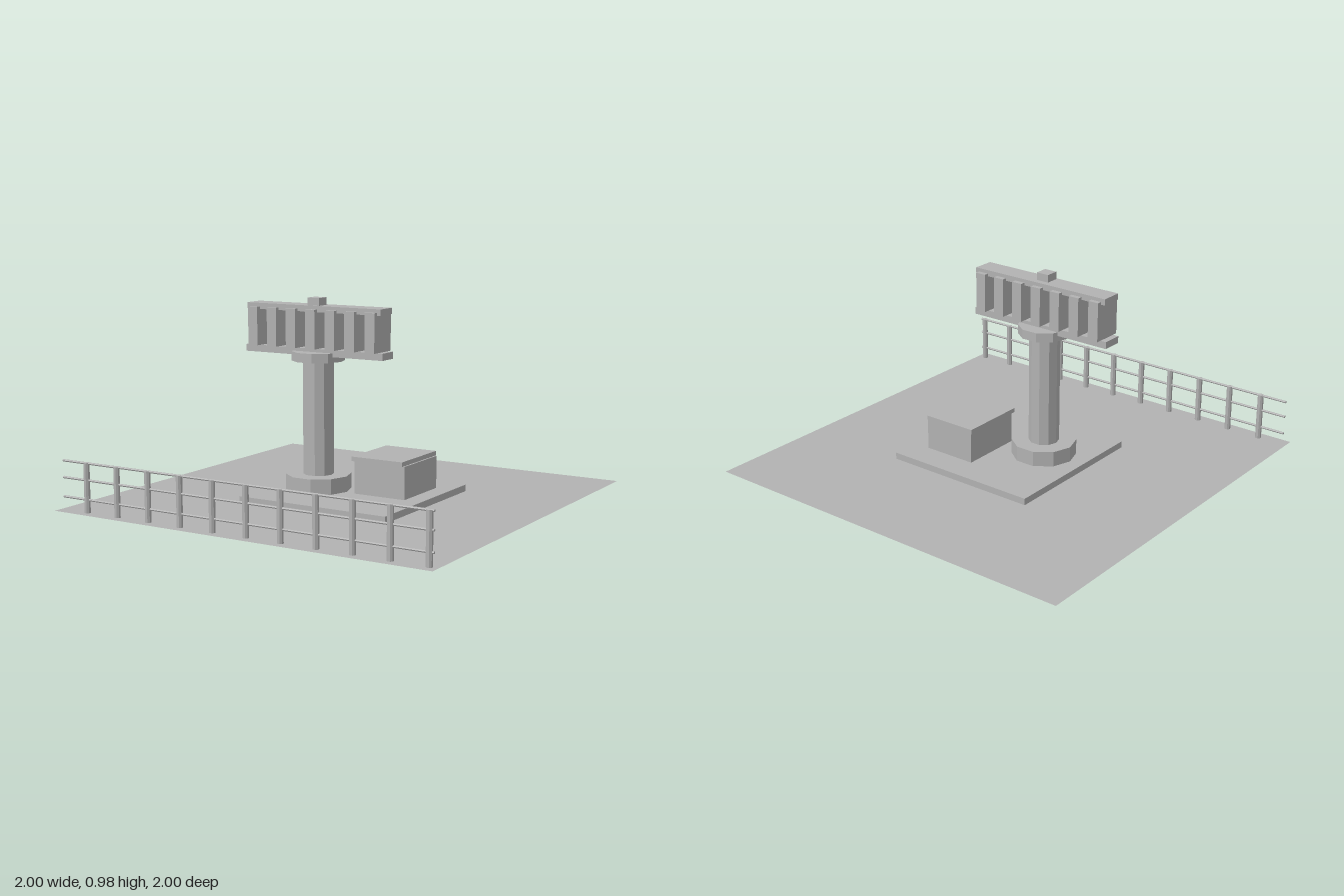
import * as THREE from 'three';

export function createModel() {
  const model = new THREE.Group();
  const grey = new THREE.MeshStandardMaterial({ color: 0xb2b2b2, flatShading: true, side: THREE.DoubleSide });
  grey.name = 'plain grey';

  const add = (parent, name, geometry, x, y, z) => {
    const mesh = new THREE.Mesh(geometry, grey);
    mesh.name = name;
    mesh.position.set(x, y, z);
    parent.add(mesh);
    return mesh;
  };
  // Box given by its limits on each axis
  const box = (parent, name, [x0, x1], [y0, y1], [z0, z1]) =>
    add(parent, name, new THREE.BoxGeometry(x1 - x0, y1 - y0, z1 - z0),
      (x0 + x1) / 2, (y0 + y1) / 2, (z0 + z1) / 2);
  const group = (name) => {
    const g = new THREE.Group();
    g.name = name;
    model.add(g);
    return g;
  };

  // Flat ground sheet and raised slab
  add(model, 'ground', new THREE.PlaneGeometry(2, 2).rotateX(-Math.PI / 2), 0, 0.004, 0);
  box(model, 'slab', [-0.36, 0.445], [0.004, 0.037], [-0.38, 0.417]);

  // Ten-sided pedestal with foot and collar, flat faces to the front and back
  const cx = -0.131, cz = 0.07;
  const pedestal = group('pedestal');
  const decagon = (name, radius, y0, y1) => {
    const geometry = new THREE.CylinderGeometry(radius, radius, y1 - y0, 10).rotateY(Math.PI / 10);
    add(pedestal, name, geometry, cx, (y0 + y1) / 2, cz);
  };
  decagon('foot', 0.16, 0.037, 0.113);
  decagon('column', 0.075, 0.113, 0.67);
  decagon('collar', 0.129, 0.67, 0.715);

  // Antenna head: two rails holding seven upright blocks, with a small cap
  const head = group('antennaHead');
  box(head, 'lowerRail', [-0.52, 0.256], [0.697, 0.731], [cz - 0.05, cz + 0.05]);
  box(head, 'upperRail', [-0.51, 0.247], [0.908, 0.938], [cz - 0.053, cz + 0.053]);
  for (let i = 0; i < 7; i++) {
    const x = cx + (i - 3) * 0.1105;
    box(head, 'uprightBlock', [x - 0.027, x + 0.027], [0.731, 0.921], [cz - 0.077, cz + 0.077]);
  }
  box(head, 'topCap', [cx - 0.033, cx + 0.033], [0.938, 0.975], [0.048, 0.113]);

  // Equipment cabinet with a slightly offset lid
  const cabinet = group('cabinet');
  box(cabinet, 'cabinetBody', [0.08, 0.356], [0.037, 0.197], [-0.238, 0.081]);
  box(cabinet, 'cabinetLid', [0.067, 0.347], [0.197, 0.219], [-0.25, 0.089]);

  // Railing along the front edge
  const railing = group('railing');
  const fz = 0.95;
  for (let i = 0; i < 11; i++) {
    add(railing, 'post', new THREE.CylinderGeometry(0.015, 0.015, 0.241, 8).rotateY(Math.PI / 8),
      -0.842 + i * 0.18, 0.1205, fz);
  }
  for (const y of [0.066, 0.158, 0.238]) {
    add(railing, 'rail', new THREE.CylinderGeometry(0.006, 0.006, 1.965, 6).rotateZ(Math.PI / 2), -0.002, y, fz);
  }

  return model;
}
